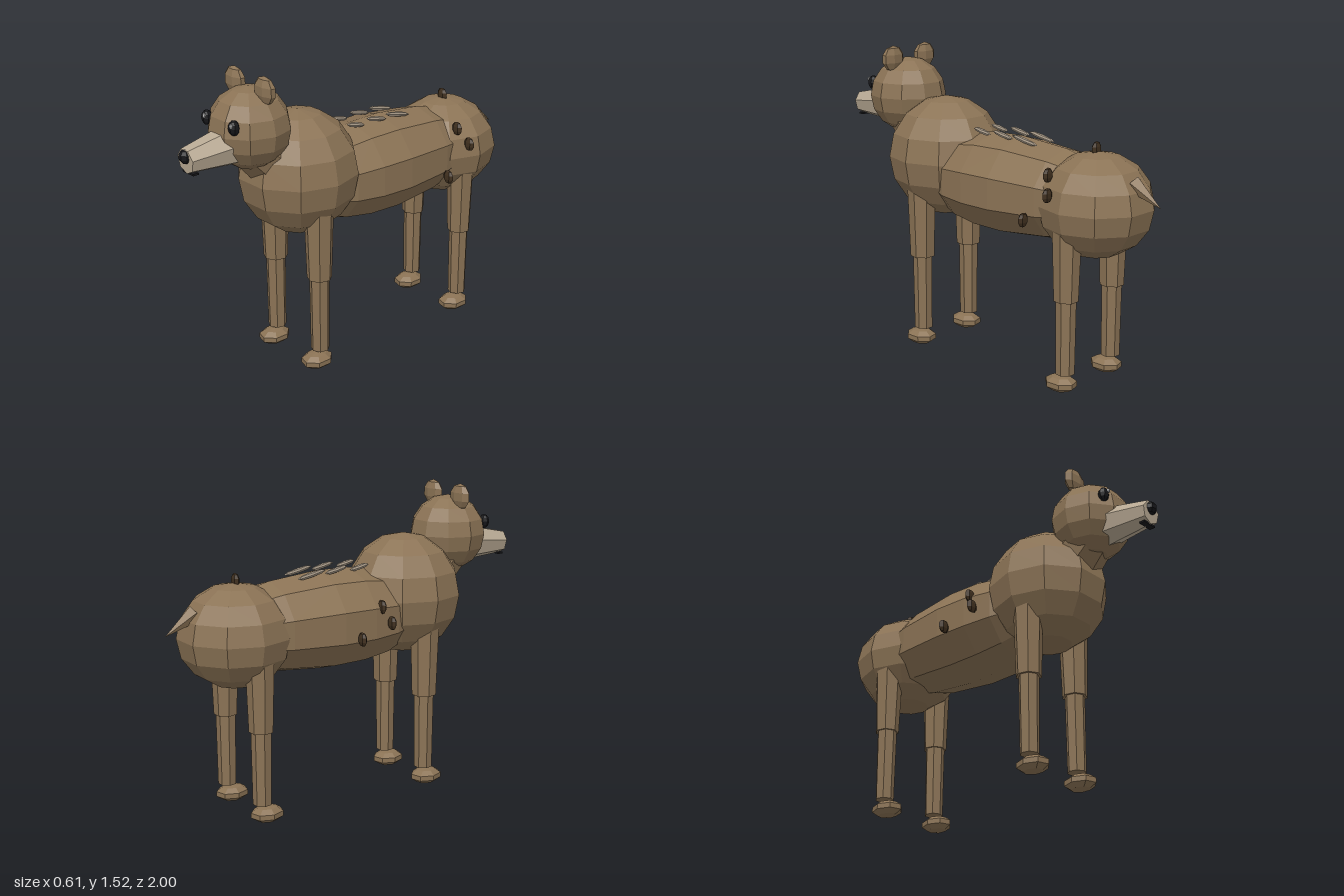
import * as THREE from 'three';

const mat = (name, color) => {
  const m = new THREE.MeshStandardMaterial({ color, flatShading: true });
  m.name = name;
  return m;
};

export function createModel() {
  const fur = mat('brown fur', 0x8b7355);
  const pale = mat('pale muzzle', 0xb9aa94);
  const grey = mat('grey back tufts', 0xa89a88);
  const black = mat('black', 0x17171a);
  const dark = mat('dark burr', 0x40301f);
  const glint = mat('eye glint', 0xb8b8b8);

  const bear = new THREE.Group();
  bear.name = 'bear';

  const add = (name, geo, material, x = 0, y = 0, z = 0) => {
    const m = new THREE.Mesh(geo, material);
    m.name = name;
    m.position.set(x, y, z);
    bear.add(m);
    return m;
  };
  // faceted ellipsoid
  const blob = (name, material, pos, rad, ws = 10, hs = 8) =>
    add(name, new THREE.SphereGeometry(1, ws, hs).scale(...rad), material, ...pos);
  // tapered rod from a to b
  const rod = (name, material, a, b, ra, rb, sides) => {
    const A = new THREE.Vector3(...a), B = new THREE.Vector3(...b);
    const d = B.clone().sub(A);
    const m = add(name, new THREE.CylinderGeometry(rb, ra, d.length(), sides), material);
    m.position.copy(A).add(B).multiplyScalar(0.5);
    m.quaternion.setFromUnitVectors(new THREE.Vector3(0, 1, 0), d.normalize());
    return m;
  };

  // body masses
  blob('shoulders', fur, [0, 0.985, 0.335], [0.292, 0.305, 0.3]);
  blob('hips', fur, [0, 0.89, -0.64], [0.275, 0.25, 0.28]);
  const profile = [[0, -0.62], [0.2, -0.6], [0.238, -0.45], [0.265, -0.18], [0.26, 0],
    [0.235, 0.15], [0.15, 0.35], [0, 0.4]].map(([r, z]) => new THREE.Vector2(r, z));
  add('torso', new THREE.LatheGeometry(profile, 10).rotateX(Math.PI / 2).scale(1, 0.93, 1), fur, 0, 0.905, 0);
  rod('neck', fur, [0, 1.0, 0.4], [0, 1.18, 0.6], 0.15, 0.125, 8);

  // head
  blob('head', fur, [0, 1.265, 0.615], [0.195, 0.195, 0.197]);
  rod('muzzle', pale, [0, 1.205, 0.7], [0, 1.185, 0.97], 0.1, 0.06, 7);
  blob('nose', black, [0, 1.207, 0.968], [0.034, 0.034, 0.032], 7, 5);
  add('mouth', new THREE.BoxGeometry(0.08, 0.009, 0.03), black, 0, 1.128, 0.945);
  for (const s of [-1, 1]) {
    blob('ear', fur, [s * 0.11, 1.46, 0.607], [0.073, 0.066, 0.03], 7, 5);
    blob('eye', black, [s * 0.1, 1.32, 0.775], [0.028, 0.036, 0.026], 7, 6);
    blob('eyeGlint', glint, [s * 0.1 + 0.008, 1.335, 0.797], [0.011, 0.013, 0.007], 5, 4);
  }

  // legs and paws
  for (const s of [-1, 1]) {
    for (const [end, x, z, top, knee, r, pawZ] of [
      ['front', 0.168, 0.35, 0.9, 0.48, 0.075, 0.37],
      ['rear', 0.172, -0.607, 0.86, 0.455, 0.072, -0.582],
    ]) {
      rod(end + 'UpperLeg', fur, [s * x, knee, z], [s * x, top, z], r - 0.013, r, 7);
      rod(end + 'LowerLeg', fur, [s * x, 0.095, z], [s * x, knee + 0.03, z], 0.046, 0.05, 7);
      blob(end + 'Paw', fur, [s * x, 0.042, pawZ], [0.071, 0.04, 0.087], 7, 5);
    }
  }

  // tail
  rod('tail', fur, [0, 1.02, -0.85], [0, 0.93, -1.0], 0.042, 0.001, 5);

  // two rows of overlapping tufts along the back
  for (const x of [-0.06, 0.065]) {
    for (const [y, z, len] of [[1.153, 0.025, 0.06], [1.153, -0.11, 0.07], [1.145, -0.25, 0.088]]) {
      const t = blob('backTuft', grey, [x, y, z], [0.013, 0.013, len], 6, 4);
      t.rotation.x = -0.2;
    }
  }

  // burrs caught in the fur
  for (const p of [[0.265, 0.965, -0.565], [0.215, 1.045, -0.525], [0.265, 0.825, -0.42],
    [0, 1.15, -0.633], [-0.24, 0.985, 0.035], [-0.268, 0.905, 0.075], [-0.278, 0.85, -0.105]]) {
    blob('burr', dark, p, [0.034, 0.035, 0.016], 6, 5);
  }

  return bear;
}
